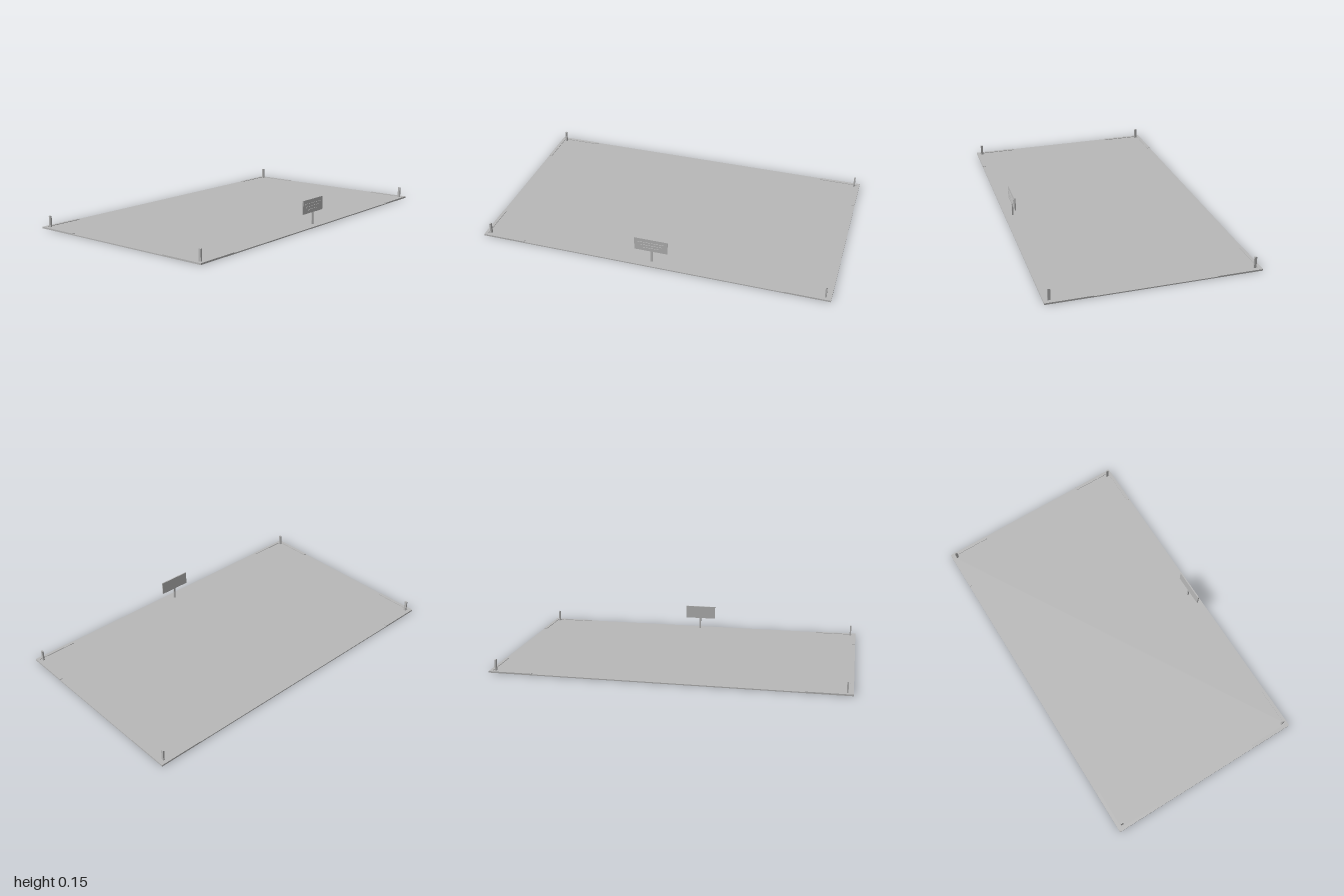
import * as THREE from 'three';

const grey = new THREE.MeshStandardMaterial({ color: 0xb8b8b8 });
grey.name = 'plain grey';

export function createModel() {
  const model = new THREE.Group();
  model.name = 'plot';

  const box = (name, w, h, d, x, bottom, z, parent = model) => {
    const mesh = new THREE.Mesh(new THREE.BoxGeometry(w, h, d), grey);
    mesh.name = name;
    mesh.position.set(x, bottom + h / 2, z);
    parent.add(mesh);
    return mesh;
  };

  // Ground slab
  const halfX = 1, halfZ = 0.58, slab = 0.006;
  box('groundSlab', halfX * 2, slab, halfZ * 2, 0, 0, 0);

  // Raised L-shaped kerb and marker post at each corner
  const length = 0.25, width = 0.018, rise = 0.003;
  for (const sx of [-1, 1]) {
    for (const sz of [-1, 1]) {
      const corner = new THREE.Group();
      corner.name = 'cornerMarker';
      model.add(corner);
      box('kerbAlongWidth', length, rise, width,
        sx * (halfX - length / 2), slab, sz * (halfZ - width / 2), corner);
      box('kerbAlongDepth', width, rise, length - width,
        sx * (halfX - width / 2), slab, sz * (halfZ - (length + width) / 2), corner);
      box('cornerPost', 0.009, 0.063, 0.014, sx * 0.968, slab, sz * 0.549, corner);
    }
  }

  // Sign board on its post, with raised lines on the front face
  const sign = new THREE.Group();
  sign.name = 'sign';
  model.add(sign);
  const signZ = 0.533;
  box('signPost', 0.01, 0.07, 0.008, 0, slab, signZ, sign);
  box('signBoard', 0.19, 0.077, 0.007, -0.002, 0.075, signZ, sign);
  [[0.15, 0.124], [0.13, 0.107], [0.09, 0.09]].forEach(([w, y]) =>
    box('signLine', w, 0.007, 0.003, -0.002, y, signZ + 0.005, sign));

  return model;
}
